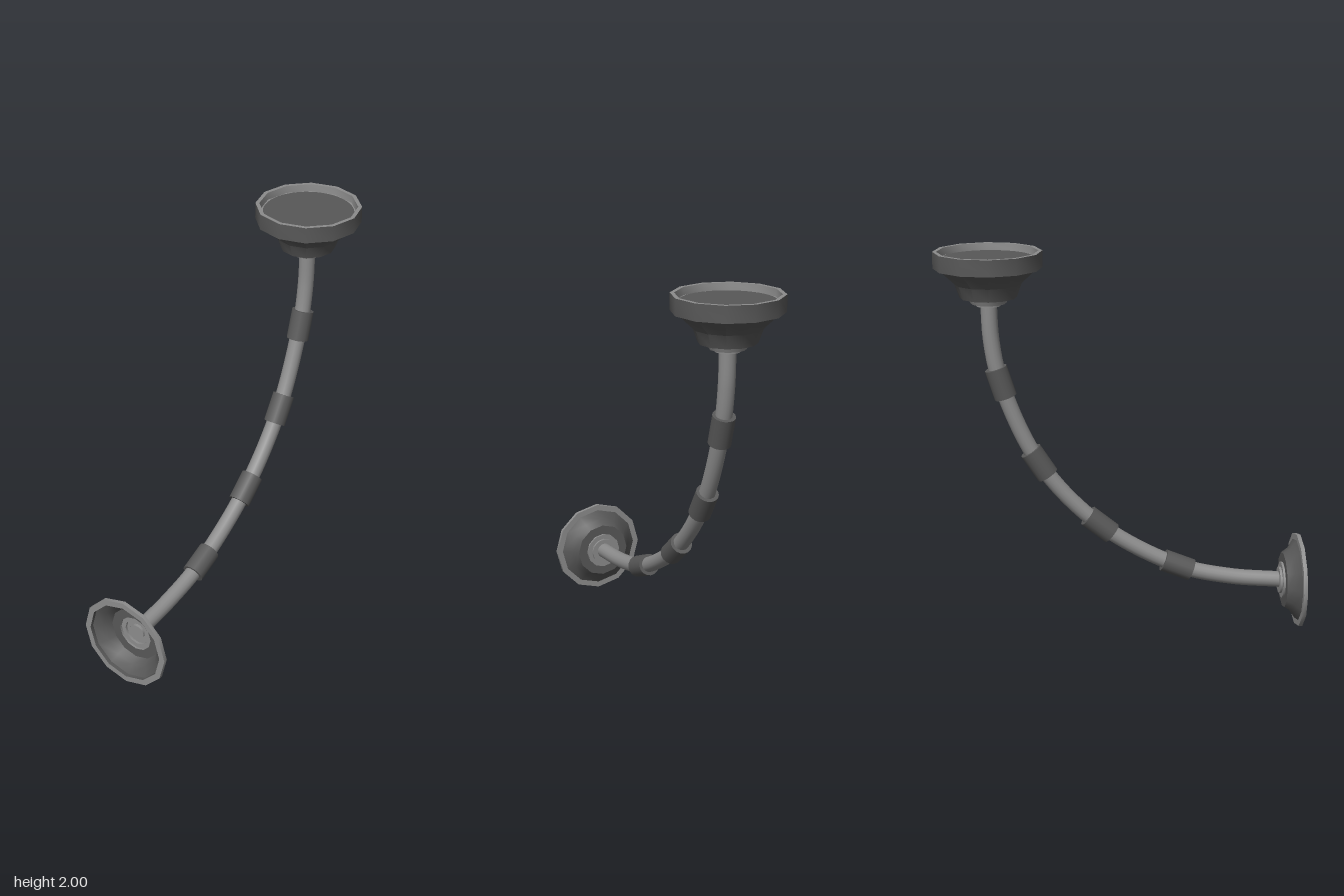
import * as THREE from 'three';
import { toCreasedNormals } from 'three/addons/utils/BufferGeometryUtils.js';

export function createModel() {
  const model = new THREE.Group();
  model.name = 'curvedPipeFixture';

  const light = new THREE.MeshStandardMaterial({ color: 0x8c8c8c, side: THREE.DoubleSide });
  light.name = 'light grey metal';
  const dark = new THREE.MeshStandardMaterial({ color: 0x585858, side: THREE.DoubleSide });
  dark.name = 'dark grey metal';

  const add = (parent, name, geometry, material) => {
    const mesh = new THREE.Mesh(geometry, material);
    mesh.name = name;
    parent.add(mesh);
    return mesh;
  };
  // Twelve-sided turned part with crisp profile edges
  const turned = (points) => toCreasedNormals(
    new THREE.LatheGeometry(points.map(([r, y]) => new THREE.Vector2(r, y)), 12), 0.6);

  // Wall flange: hollow bell opening towards -x
  const flange = new THREE.Group();
  flange.name = 'wallFlange';
  flange.position.set(-0.93, 0.247, 0);
  flange.rotation.z = -Math.PI / 2;
  model.add(flange);
  add(flange, 'flangeRim', turned([[0.215, 0], [0.246, 0], [0.246, 0.02], [0.215, 0.02]]), light);
  add(flange, 'flangeBell', turned([[0.215, 0], [0.215, 0.02], [0.17, 0.05], [0.145, 0.087], [0.095, 0.087]]), dark);
  add(flange, 'flangeCollar', turned([[0.095, 0.087], [0.095, 0.098], [0.07, 0.098], [0.07, 0.11], [0.035, 0.11]]), light);

  // Cup at the upper end
  const cup = new THREE.Group();
  cup.name = 'topCup';
  cup.position.set(0.658, 0, 0);
  model.add(cup);
  add(cup, 'cupCollar', turned([[0.035, 1.73], [0.062, 1.73], [0.062, 1.743], [0.088, 1.743], [0.1, 1.772]]), light);
  add(cup, 'cupBody', turned([[0.095, 1.772], [0.14, 1.772], [0.165, 1.84], [0.25, 1.918], [0.268, 1.918], [0.268, 2]]), dark);
  add(cup, 'cupRim', turned([[0.268, 2], [0.248, 2], [0.245, 1.963], [0.2, 1.963]]), light);
  const disc = add(cup, 'cupDisc', new THREE.CircleGeometry(0.23, 48), dark);
  disc.rotation.x = -Math.PI / 2;
  disc.position.y = 1.966;

  // Curved pipe between flange and cup
  const path = new THREE.CatmullRomCurve3([
    [-0.83, 0.25], [-0.56, 0.278], [-0.288, 0.347], [0.114, 0.58],
    [0.42, 0.918], [0.606, 1.34], [0.648, 1.55], [0.658, 1.75],
  ].map(([x, y]) => new THREE.Vector3(x, y, 0)), false, 'centripetal');
  add(model, 'pipe', new THREE.TubeGeometry(path, 48, 0.041, 16), light);
  const cap = add(model, 'pipeEnd', new THREE.CircleGeometry(0.041, 16), light);
  cap.position.set(-0.83, 0.25, 0);
  cap.rotation.y = -Math.PI / 2;

  // Four sleeves aligned with the pipe
  const up = new THREE.Vector3(0, 1, 0);
  for (const i of [2, 3, 4, 5]) {
    const sleeve = add(model, 'sleeve', new THREE.CylinderGeometry(0.057, 0.057, 0.155, 16), dark);
    sleeve.position.copy(path.points[i]);
    sleeve.quaternion.setFromUnitVectors(up, path.getTangent(i / (path.points.length - 1)));
  }
  return model;
}
